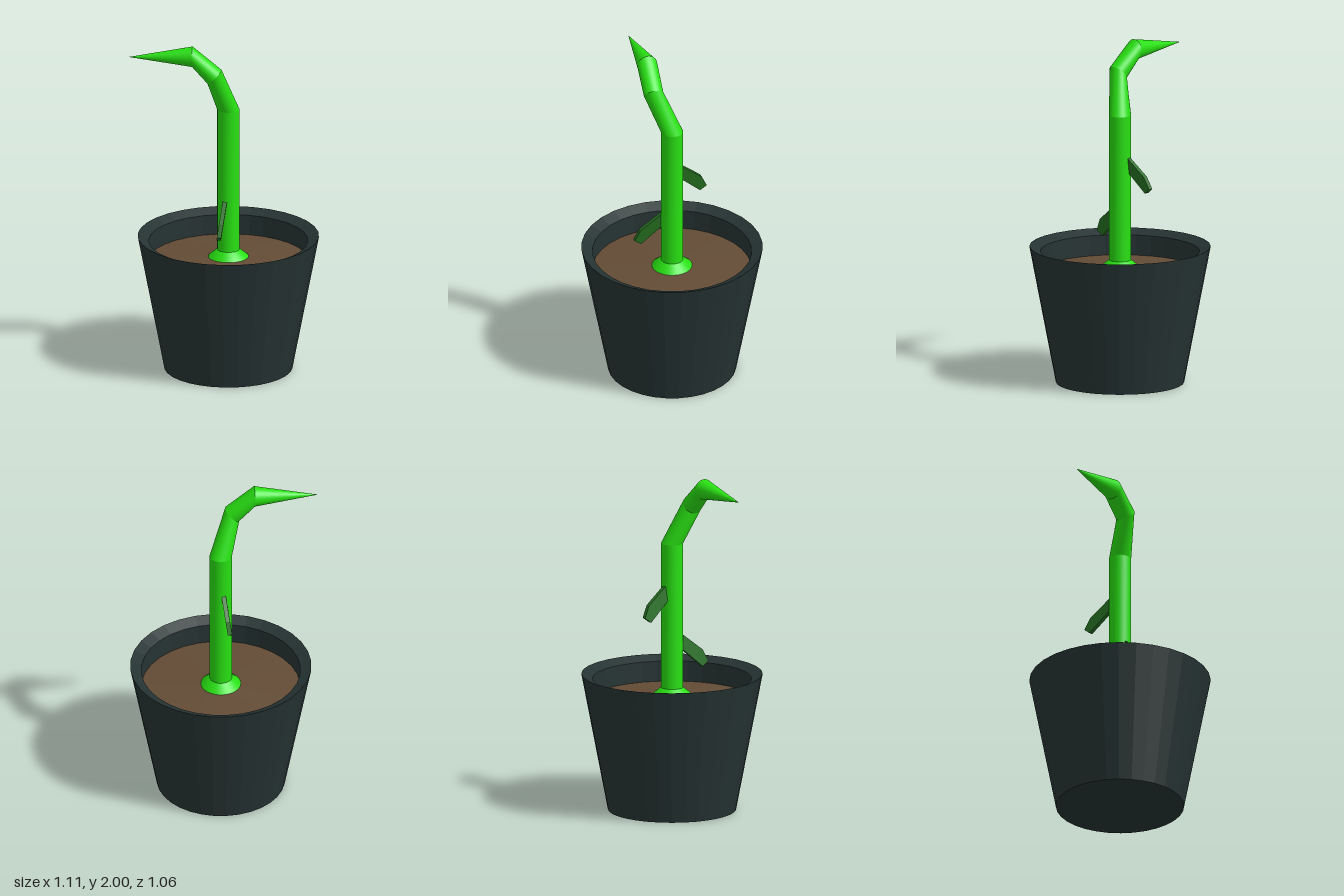
import * as THREE from 'three';

const SIDES = 32;
const AXIS_X = 0.025; // pot and stem share this axis

const material = (color, flatShading = false) => {
  const m = new THREE.MeshStandardMaterial({ flatShading });
  m.color.set(color);
  return m;
};

function addMesh(parent, name, geometry, mat) {
  const mesh = new THREE.Mesh(geometry, mat);
  mesh.name = name;
  parent.add(mesh);
  return mesh;
}

function lathe(points) {
  return new THREE.LatheGeometry(points.map(([r, y]) => new THREE.Vector2(r, y)), SIDES);
}

// Ring of points around a centre, tilted about z
function ring({ c, r, tilt }) {
  return Array.from({ length: SIDES }, (_, j) => {
    const a = (j / SIDES) * Math.PI * 2;
    const u = r * Math.cos(a);
    return [c[0] + u * Math.cos(tilt), c[1] + u * Math.sin(tilt), c[2] - r * Math.sin(a)];
  });
}

// Smooth open tube between two rings
function segment(from, to) {
  const index = [];
  for (let j = 0; j < SIDES; j++) {
    const k = (j + 1) % SIDES;
    index.push(j, k, SIDES + k, j, SIDES + k, SIDES + j);
  }
  const g = new THREE.BufferGeometry();
  const positions = [...ring(from), ...ring(to)].flat();
  g.setAttribute('position', new THREE.Float32BufferAttribute(positions, 3));
  g.setIndex(index);
  g.computeVertexNormals();
  return g;
}

// Thin leaf in the z-y plane, leaning sideways with height
function leafGeometry(side) {
  const outline = [[0.02, 1.07], [0.185, 0.94], [0.22, 0.87], [0.18, 0.84], [0.02, 0.98]];
  const shape = new THREE.Shape(outline.map(([z, y]) => new THREE.Vector2(z * side, y)));
  const g = new THREE.ExtrudeGeometry(shape, { depth: 0.026, bevelEnabled: false });
  g.translate(0, 0, -0.013);
  g.rotateY(-Math.PI / 2);
  const p = g.attributes.position;
  for (let i = 0; i < p.count; i++) {
    p.setX(i, p.getX(i) - 0.005 + 0.14 * (p.getY(i) - 0.94));
  }
  g.computeVertexNormals();
  return g;
}

export function createModel() {
  const model = new THREE.Group();
  model.name = 'pottedSprout';
  const potMat = material(0x263333, true);
  const soilMat = material(0x634c36, true);
  const stemMat = material(0x28e012);
  const leafMat = material(0x267022, true);

  // Pot with sloping lip and soil
  const pot = new THREE.Group();
  pot.name = 'pot';
  pot.position.x = AXIS_X;
  model.add(pot);
  const potProfile = [[0, 0], [0.375, 0], [0.53, 0.81], [0.465, 0.78], [0.465, 0.65]];
  addMesh(pot, 'potShell', lathe(potProfile), potMat);
  addMesh(pot, 'soil', lathe([[0.465, 0.66], [0, 0.69]]), soilMat);

  // Stem: flared foot, straight shaft, bends and pointed tip
  const stem = new THREE.Group();
  stem.name = 'stem';
  model.add(stem);
  const foot = addMesh(stem, 'stemFoot', lathe([[0.117, 0.665], [0.117, 0.686], [0.065, 0.728]]), stemMat);
  foot.position.x = AXIS_X;
  const rings = [
    { c: [AXIS_X, 0.68, 0], r: 0.065, tilt: 0 },
    { c: [AXIS_X, 1.59, 0], r: 0.065, tilt: 0 },
    { c: [-0.05, 1.82, 0.09], r: 0.058, tilt: Math.PI / 4 },
    { c: [-0.18, 1.94, 0.087], r: 0.06, tilt: Math.PI / 2 },
    { c: [-0.55, 1.93, 0.087], r: 0.0005, tilt: Math.PI / 2 },
  ];
  ['stemShaft', 'lowerBend', 'upperBend', 'stemTip'].forEach((name, i) =>
    addMesh(stem, name, segment(rings[i], rings[i + 1]), stemMat));

  // One low leaf in front, one higher behind
  addMesh(model, 'frontLeaf', leafGeometry(1), leafMat);
  addMesh(model, 'backLeaf', leafGeometry(-1), leafMat).position.set(0.005, 0.305, 0);

  return model;
}
